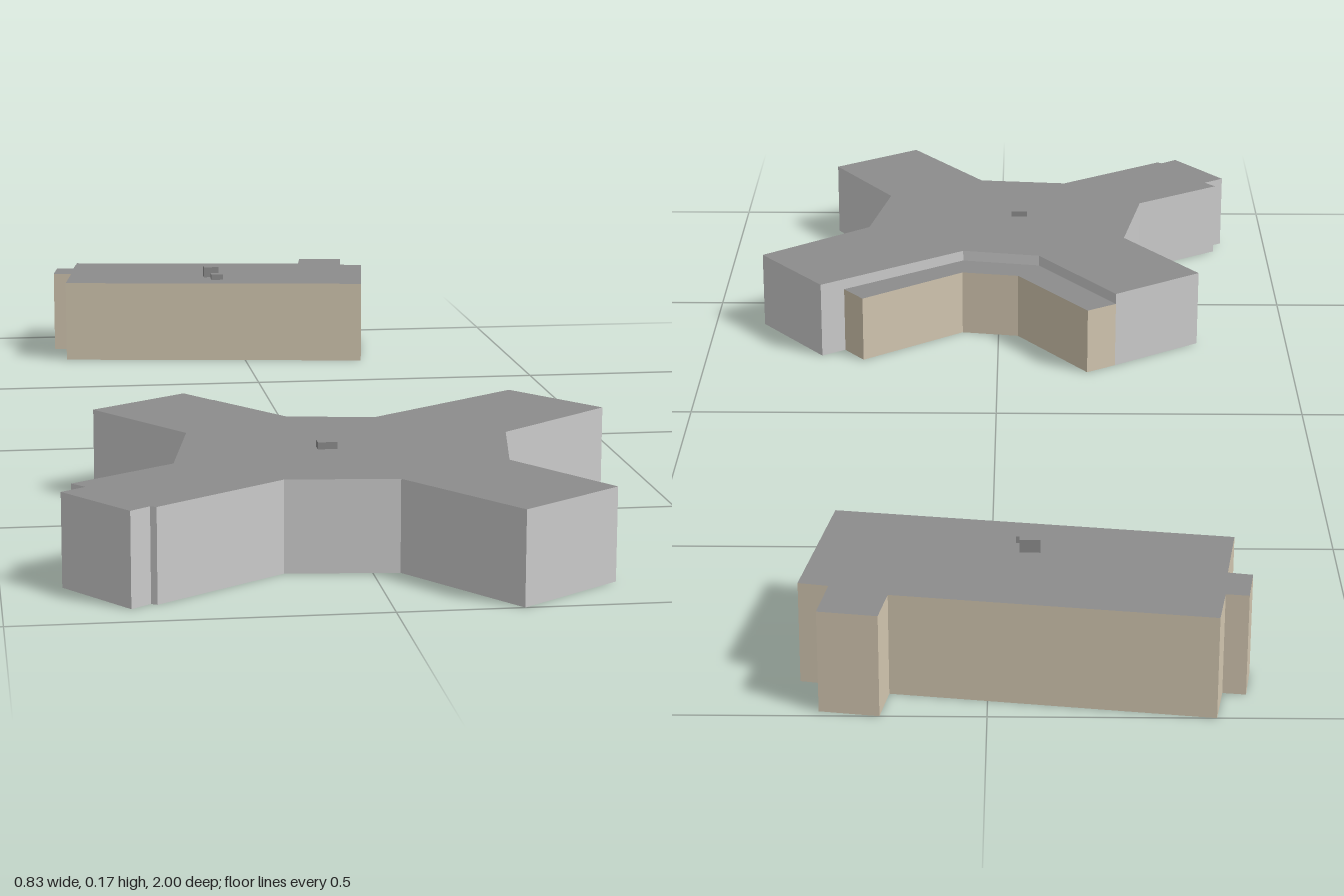
import * as THREE from 'three';
import { mergeGeometries } from 'three/addons/utils/BufferGeometryUtils.js';

const material = (color) =>
  new THREE.MeshStandardMaterial({ color, side: THREE.DoubleSide });
const roofMat = material(0x8c8c8c);
const greyWall = material(0xcccccc);
const beigeWall = material(0xd2c6b0);

// One upright panel for every edge of a footprint of [x, z] corners
function wallGeometry(plan, height) {
  return mergeGeometries(plan.map((b, i) => {
    const a = plan[(i + 1) % plan.length];
    const dx = b[0] - a[0], dz = b[1] - a[1];
    const panel = new THREE.PlaneGeometry(Math.hypot(dx, dz), height);
    panel.rotateY(Math.atan2(-dz, dx));
    panel.translate((a[0] + b[0]) / 2, height / 2, (a[1] + b[1]) / 2);
    return panel;
  }));
}

// Hollow block, open underneath: walls plus a flat roof
function block(name, plan, height, wallMat) {
  const group = new THREE.Group();
  group.name = name;
  const walls = new THREE.Mesh(wallGeometry(plan, height), wallMat);
  walls.name = name + 'Walls';
  const outline = new THREE.Shape(plan.map(([x, z]) => new THREE.Vector2(x, -z)));
  const roofGeo = new THREE.ShapeGeometry(outline);
  roofGeo.rotateX(-Math.PI / 2);
  roofGeo.translate(0, height, 0);
  const roof = new THREE.Mesh(roofGeo, roofMat);
  roof.name = name + 'Roof';
  group.add(walls, roof);
  return group;
}

// Small box standing on a roof
function roofUnit(x, z, base, w, h, d) {
  const mesh = new THREE.Mesh(new THREE.BoxGeometry(w, h, d), roofMat);
  mesh.name = 'roofUnit';
  mesh.position.set(x, base + h / 2, z);
  return mesh;
}

export function createModel() {
  const model = new THREE.Group();
  model.name = 'buildings';

  // Four-winged building
  model.add(block('wingedBuilding', [
    [-0.345, 0.313], [-0.2, 0.21], [-0.07, 0.397], [0.063, 0.421],
    [0.302, 0.248], [0.414, 0.396], [0.235, 0.545], [0.204, 0.72],
    [0.314, 0.893], [0.168, 1.0], [0.037, 0.813], [-0.119, 0.797],
    [-0.3, 0.926], [-0.308, 0.921], [-0.335, 0.942], [-0.418, 0.828],
    [-0.384, 0.804], [-0.402, 0.783], [-0.257, 0.683], [-0.222, 0.492],
  ], 0.13, greyWall));
  model.add(roofUnit(-0.035, 0.614, 0.13, 0.028, 0.01, 0.018));

  // Lower strip along the back of the winged building
  model.add(block('backAnnex', [
    [-0.2, 0.21], [-0.152, 0.178], [-0.034, 0.344], [0.063, 0.36],
    [0.23, 0.23], [0.264, 0.275], [0.063, 0.421], [-0.07, 0.397],
  ], 0.112, beigeWall));

  // Long building with small corner projections
  model.add(block('longBuilding', [
    [-0.299, -1.0], [0.13, -0.94], [0.14, -1.0], [0.22, -0.988],
    [0.209, -0.915], [0.25, -0.907], [0.215, -0.683], [-0.333, -0.762],
    [-0.317, -0.87], [-0.35, -0.876], [-0.341, -0.937], [-0.31, -0.933],
  ], 0.146, beigeWall));
  model.add(roofUnit(-0.055, -0.805, 0.146, 0.028, 0.019, 0.017));
  model.add(roofUnit(-0.047, -0.774, 0.146, 0.022, 0.01, 0.02));

  return model;
}
